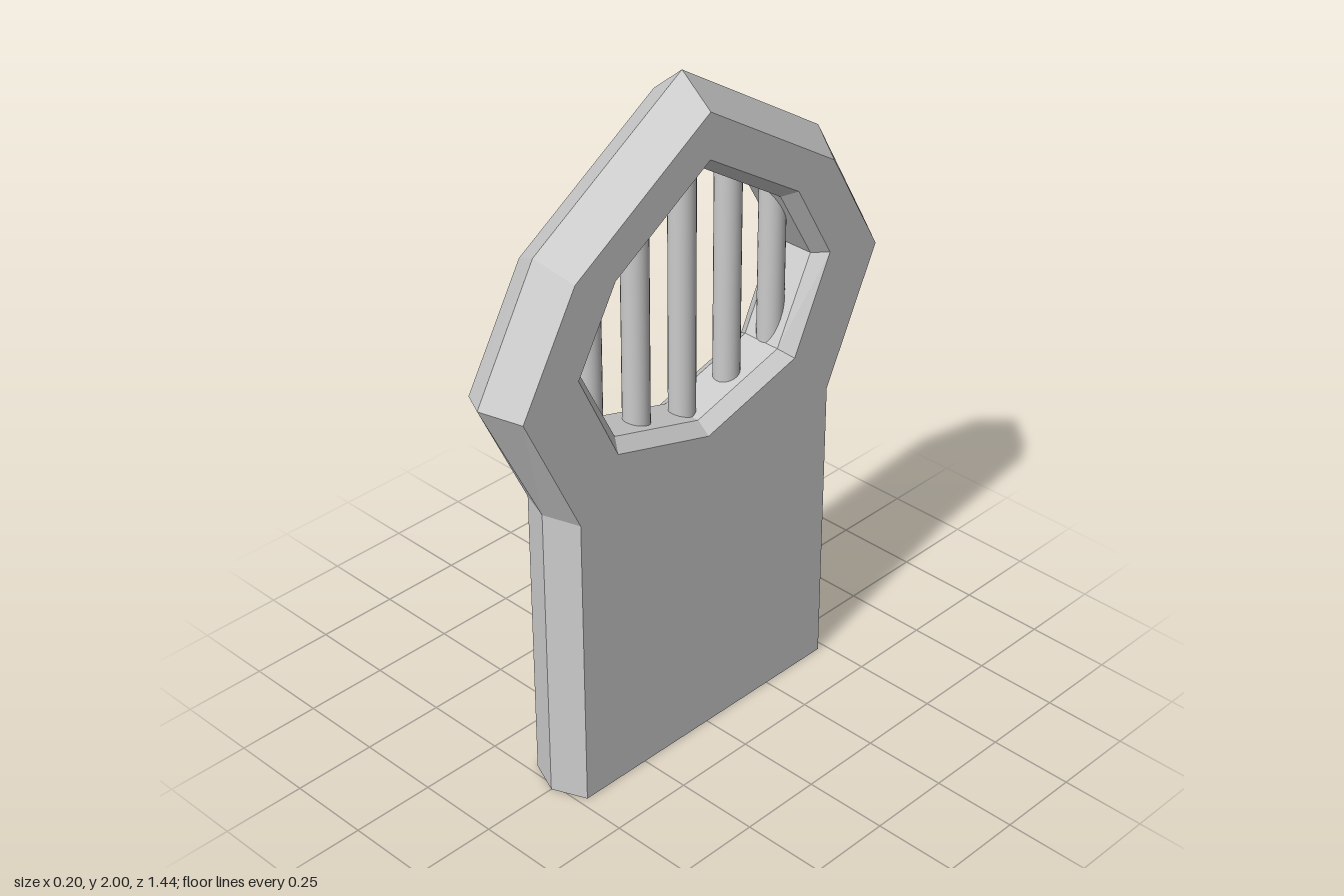
import * as THREE from 'three';

const material = new THREE.MeshStandardMaterial({ color: 0xcccccc, flatShading: true });
const smooth = new THREE.MeshStandardMaterial({ color: 0xcccccc });
const HALF = 0.1; // half thickness of the slab

// Mirror half a [z, y] outline, listed from the top down, into a closed loop.
const mirror = (half) => [
  ...half,
  ...half.filter(([z]) => z > 0).reverse().map(([z, y]) => [-z, y]),
];

const ridgeLoop = mirror([[0, 2], [0.52, 1.67], [0.72, 1.32], [0.517, 0.915], [0.517, 0]]);
const faceLoop = mirror([[0, 1.917], [0.475, 1.615], [0.66, 1.295], [0.475, 0.907], [0.475, 0]]);
const holeLoop = mirror([[0, 1.785], [0.337, 1.572], [0.47, 1.34], [0.337, 1.063], [0, 0.965]]);
const wallLoop = mirror([[0, 1.752], [0.31, 1.552], [0.435, 1.337], [0.31, 1.088], [0, 0.998]]);

// Join a row of [loop, x] sections with flat quads.
function loft(sections) {
  const pos = [];
  for (let s = 0; s < sections.length - 1; s++) {
    const [[A, xa], [B, xb]] = [sections[s], sections[s + 1]];
    A.forEach((_, i) => {
      const j = (i + 1) % A.length;
      const [a0, a1, b0, b1] = [[A[i], xa], [A[j], xa], [B[i], xb], [B[j], xb]]
        .map(([[z, y], x]) => [x, y, z]);
      pos.push(...a0, ...a1, ...b0, ...a1, ...b1, ...b0);
    });
  }
  const geo = new THREE.BufferGeometry();
  geo.setAttribute('position', new THREE.Float32BufferAttribute(pos, 3));
  geo.computeVertexNormals();
  return geo;
}

export function createModel() {
  const group = new THREE.Group();
  const add = (name, geo, mat = material) => {
    const mesh = new THREE.Mesh(geo, mat);
    mesh.name = name;
    group.add(mesh);
    return mesh;
  };

  // Outer rim, rising to a ridge along the middle
  add('outerRim', loft([[faceLoop, -HALF], [ridgeLoop, 0], [faceLoop, HALF]]));

  // Bevelled window opening
  add('windowLining', loft([[holeLoop, HALF], [wallLoop, 0.06], [wallLoop, -0.06], [holeLoop, -HALF]]));

  // Flat faces with the window cut out
  const toPoints = (loop) => loop.map(([z, y]) => new THREE.Vector2(z, y));
  const shape = new THREE.Shape(toPoints(faceLoop));
  shape.holes.push(new THREE.Path(toPoints(holeLoop)));
  for (const side of [-1, 1]) {
    const geo = new THREE.ShapeGeometry(shape).rotateY(side * Math.PI / 2);
    add(side > 0 ? 'leftFace' : 'rightFace', geo).position.x = side * HALF;
  }

  // Upright window bars, with their ends sunk into the frame
  const bars = [[0, 0.97, 1.79], [0.172, 1.0, 1.70], [0.345, 1.06, 1.58]];
  for (const [z, bottom, top] of bars) {
    for (const side of z ? [-1, 1] : [1]) {
      const bar = add('windowBar', new THREE.CylinderGeometry(0.038, 0.038, top - bottom, 24), smooth);
      bar.position.set(0, (top + bottom) / 2, side * z);
    }
  }
  return group;
}
